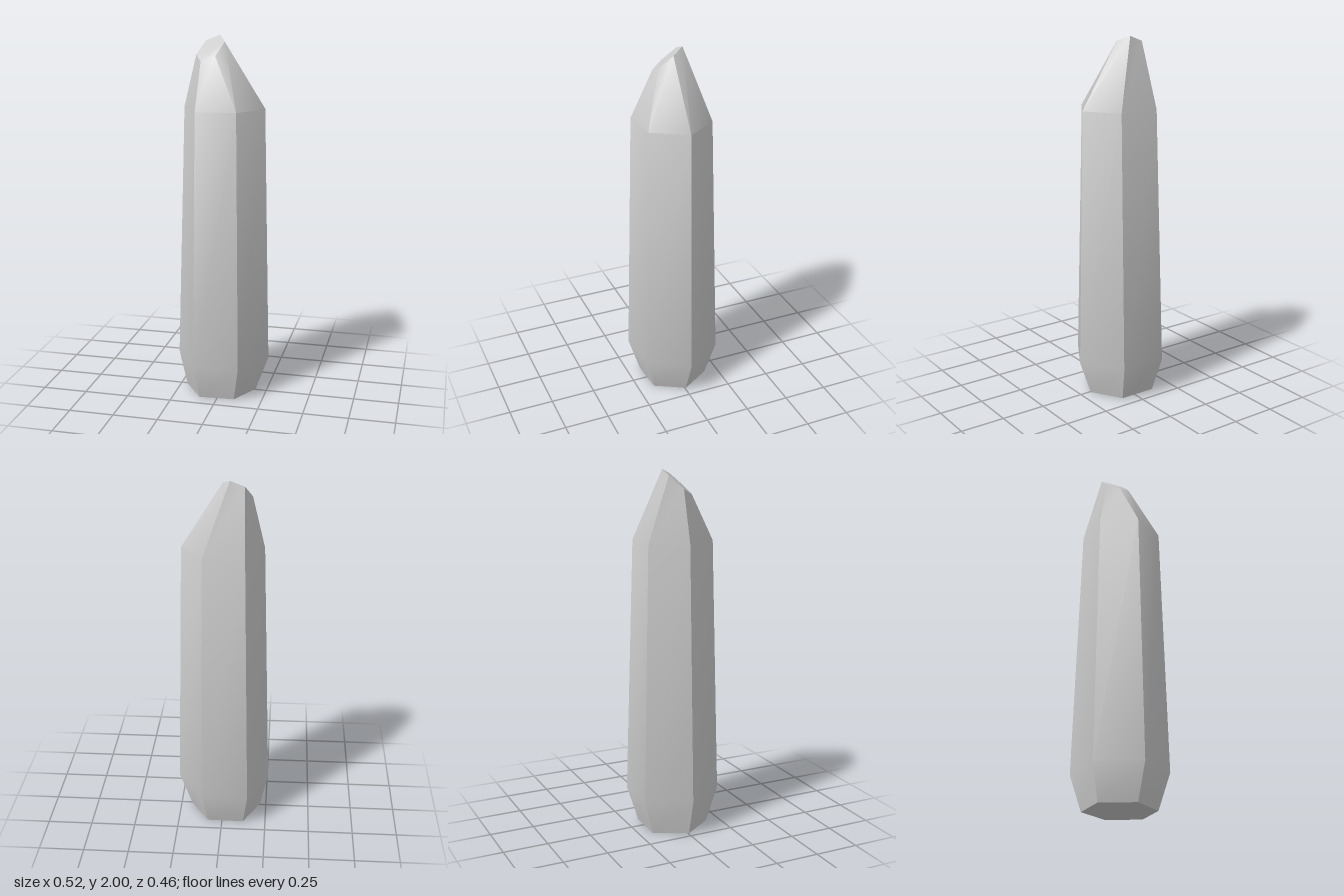
import * as THREE from 'three';
import { toCreasedNormals } from 'three/addons/utils/BufferGeometryUtils.js';

// Six-cornered cross-sections from base to tip, each corner [x, y, z]
const level = (y, corners) => corners.map(([x, z]) => [x, y, z]);
const RINGS = [
  level(0, [[0.187, -0.006], [0.095, 0.158], [-0.1, 0.17], [-0.215, 0.005], [-0.122, -0.175], [0.083, -0.173]]),
  level(0.2, [[0.259, -0.009], [0.129, 0.212], [-0.121, 0.231], [-0.26, 0.008], [-0.147, -0.233], [0.112, -0.229]]),
  level(1.62, [[0.226, -0.008], [0.108, 0.179], [-0.111, 0.192], [-0.217, 0.004], [-0.121, -0.192], [0.101, -0.185]]),
  // slanted facet at the tip
  [[0.005, 1.97, -0.004], [-0.031, 1.9, 0.065], [-0.11, 1.87, 0.065],
    [-0.15, 1.9, 0], [-0.112, 1.97, -0.069], [-0.035, 2, -0.071]],
];

function crystalGeometry(rings) {
  const positions = [];
  const face = (...corners) => corners.forEach((p) => positions.push(...p));
  const n = rings[0].length;

  // Side walls between neighbouring rings
  for (let r = 0; r < rings.length - 1; r++) {
    const lower = rings[r], upper = rings[r + 1];
    for (let i = 0; i < n; i++) {
      const j = (i + 1) % n;
      face(lower[i], upper[i], lower[j]);
      face(upper[i], upper[j], lower[j]);
    }
  }

  // Base and tip facets
  const base = rings[0], tip = rings[rings.length - 1];
  for (let i = 1; i < n - 1; i++) {
    face(base[0], base[i], base[i + 1]);
    face(tip[0], tip[i + 1], tip[i]);
  }

  const geometry = new THREE.BufferGeometry();
  geometry.setAttribute('position', new THREE.Float32BufferAttribute(positions, 3));
  // Long edges stay sharp, gentle bends blend smoothly
  return toCreasedNormals(geometry, THREE.MathUtils.degToRad(34));
}

export function createModel() {
  const grey = new THREE.MeshStandardMaterial({ color: 0xcccccc });
  grey.name = 'crystal grey';

  const crystal = new THREE.Mesh(crystalGeometry(RINGS), grey);
  crystal.name = 'crystal';

  const model = new THREE.Group();
  model.name = 'crystalShard';
  model.add(crystal);
  return model;
}
